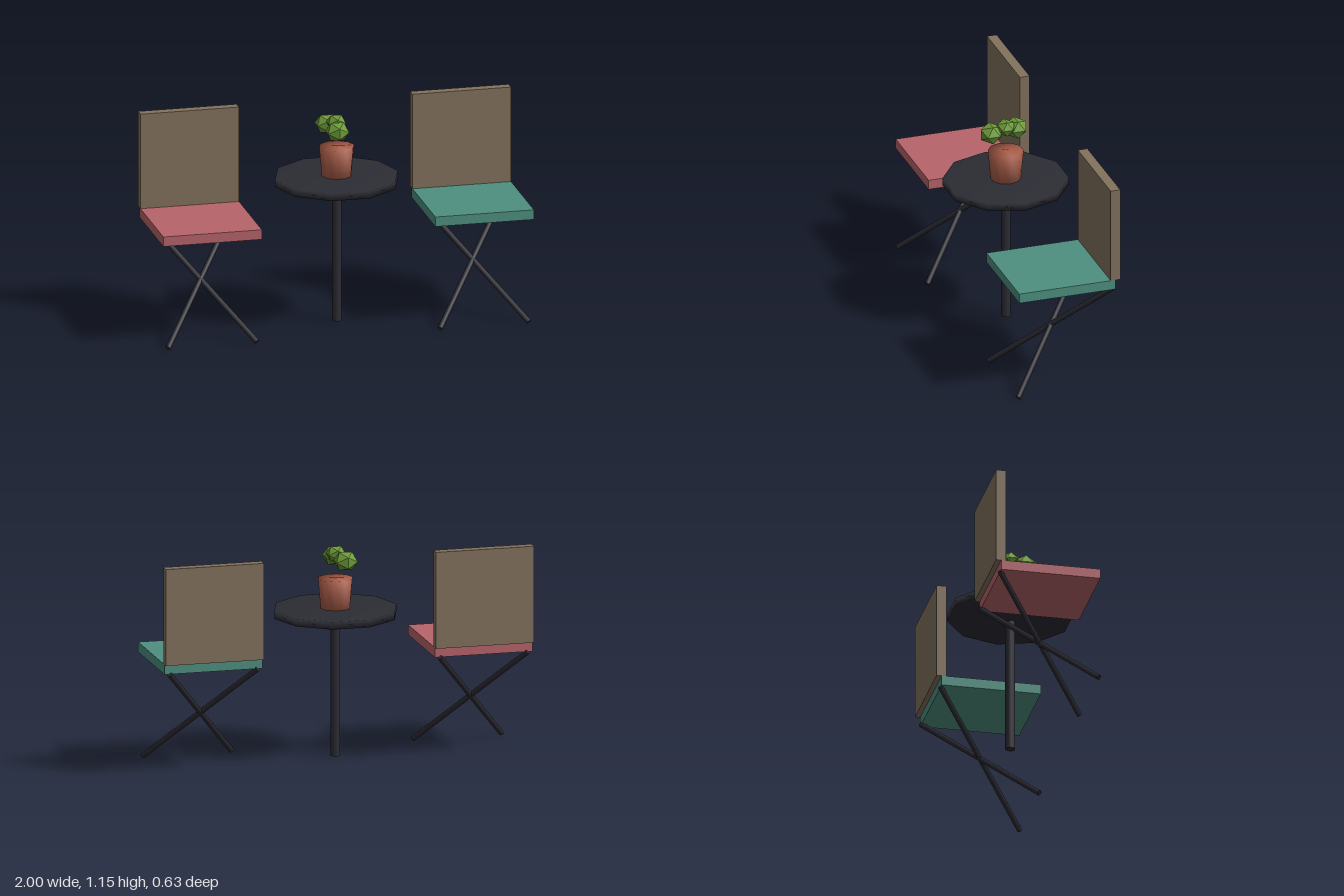
import * as THREE from 'three';

const material = (name, color) => {
  const m = new THREE.MeshStandardMaterial({ color });
  m.name = name;
  return m;
};

function part(name, geometry, mat, x = 0, y = 0, z = 0) {
  const mesh = new THREE.Mesh(geometry, mat);
  mesh.name = name;
  mesh.position.set(x, y, z);
  return mesh;
}

// Straight round bar between two points
function bar(name, from, to, radius, mat) {
  const dir = to.clone().sub(from);
  const mesh = part(name, new THREE.CylinderGeometry(radius, radius, dir.length(), 10), mat);
  mesh.position.copy(from).addScaledVector(dir, 0.5);
  mesh.quaternion.setFromUnitVectors(new THREE.Vector3(0, 1, 0), dir.normalize());
  return mesh;
}

export function createModel() {
  const metal = material('dark metal', 0x2c2c34);
  const wood = material('wood', 0x83725d);
  const red = material('red cushion', 0xb7646b);
  const teal = material('teal cushion', 0x4e9080);
  const clay = material('terracotta', 0xa95d49);
  const green = material('leaf green', 0x6c9a38);

  const model = new THREE.Group();
  model.name = 'bistroSet';

  // Two chairs with crossed legs running from front floor to back of seat
  for (const [side, name, cushion] of [[1, 'leftChair', teal], [-1, 'rightChair', red]]) {
    const chair = new THREE.Group();
    chair.name = name;
    chair.position.x = side * 0.734;
    chair.add(part('seat', new THREE.BoxGeometry(0.532, 0.053, 0.532), cushion, 0, 0.602, 0.001));
    chair.add(part('backrest', new THREE.BoxGeometry(0.532, 0.52, 0.053), wood, 0, 0.888, -0.266));
    for (const s of [1, -1]) {
      chair.add(bar('leg', new THREE.Vector3(s * 0.24, 0.014, 0.265),
        new THREE.Vector3(-s * 0.24, 0.576, -0.266), 0.0145, metal));
    }
    model.add(chair);
  }

  // Table: ten-sided top with a shallow conical underside
  const table = new THREE.Group();
  table.name = 'table';
  const topProfile = [[0, 0.748], [0.332, 0.773], [0.332, 0.813], [0, 0.813]]
    .map(([r, y]) => new THREE.Vector2(r, y));
  const top = part('tableTop', new THREE.LatheGeometry(topProfile, 10), metal);
  top.rotation.y = Math.PI / 2;
  table.add(top);
  table.add(part('pedestal', new THREE.CylinderGeometry(0.026, 0.026, 0.745, 12), metal, 0, 0.388, 0));
  model.add(table);

  // Potted plant
  const plant = new THREE.Group();
  plant.name = 'plant';
  const potProfile = [[0, 0.813], [0.08, 0.813], [0.094, 0.973], [0, 0.973]]
    .map(([r, y]) => new THREE.Vector2(r, y));
  const pot = part('pot', new THREE.LatheGeometry(potProfile, 10), clay);
  pot.rotation.y = Math.PI / 2;
  plant.add(pot);
  for (const [x, y, z, r] of [
    [-0.015, 1.076, 0.076, 0.067],
    [-0.003, 1.103, 0, 0.055],
    [-0.037, 1.077, -0.069, 0.067],
  ]) {
    const leaf = part('leaf', new THREE.IcosahedronGeometry(r, 0), green, x, y, z);
    leaf.scale.y = 0.84;
    plant.add(leaf);
  }
  model.add(plant);
  return model;
}
